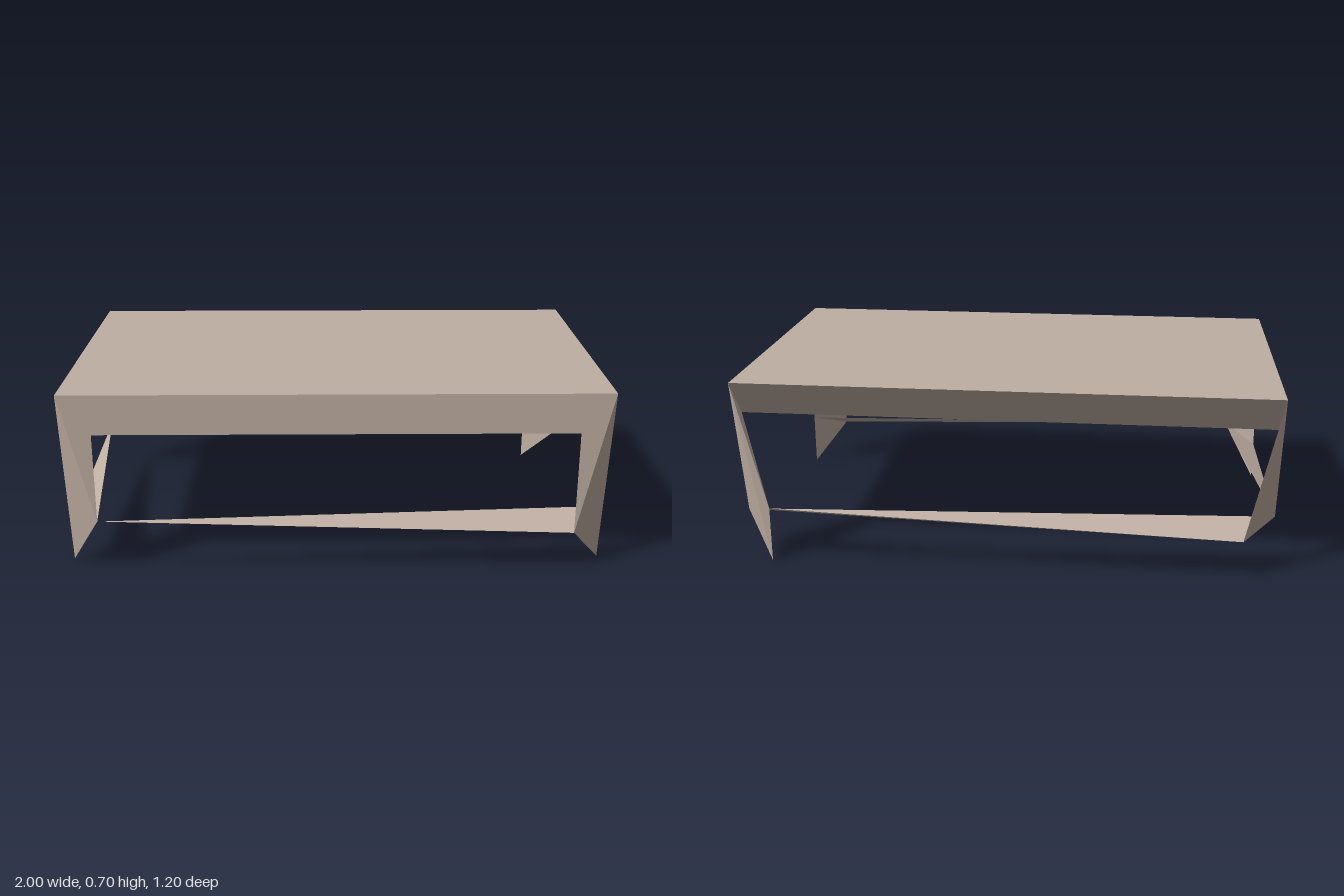
import * as THREE from 'three';
import { ConvexGeometry } from 'three/addons/geometries/ConvexGeometry.js';

const W = 1, D = 0.6;            // half width, half depth
const IX = 0.88, IZ = 0.48;      // inner faces of the legs
const TOP = 0.7, UNDER = 0.55;   // tabletop heights
const HI = 0.212, LO = 0.157;    // stretcher heights

export function createModel() {
  const group = new THREE.Group();
  const wood = new THREE.MeshStandardMaterial({ color: 0xbfaea2, side: THREE.DoubleSide });
  wood.name = 'pale brown wood';

  const vec = (p) => new THREE.Vector3(...p);
  const add = (name, geometry) => {
    const mesh = new THREE.Mesh(geometry, wood);
    mesh.name = name;
    group.add(mesh);
  };
  // Faceted solid spanned by its corner points
  const solid = (name, points) => add(name, new ConvexGeometry(points.map(vec)));
  // Thin sheet fanned from its first corner
  const sheet = (name, points) => {
    const corners = [];
    for (let i = 1; i < points.length - 1; i++) corners.push(points[0], points[i], points[i + 1]);
    const geometry = new THREE.BufferGeometry().setFromPoints(corners.map(vec));
    geometry.computeVertexNormals();
    add(name, geometry);
  };

  // Tabletop: upright front and ends, undercut back
  const slab = [];
  for (const s of [-1, 1]) {
    slab.push([s * W, TOP, D], [s * W, TOP, -D]);
    slab.push([s * IX, UNDER, D], [s * W, UNDER, IZ], [s * W, UNDER, -IZ]);
  }
  solid('tabletop', slab);

  // Front legs: wedges running from the top corner to a pointed foot
  for (const [name, s, y] of [['frontLegLeft', 1, LO], ['frontLegRight', -1, HI]]) {
    solid(name, [
      [s * W, TOP, D], [s * IX, UNDER, D], [s * W, UNDER, IZ],
      [s * IX, y, D], [s * W, 0.004, IZ],
    ]);
  }

  // Back legs: one reaches the floor, the other ends at the stretchers
  solid('backLegLeft', [
    [W, TOP, -D], [W, UNDER, -IZ], [W, LO, -IZ], [IX, HI, -D], [IX, 0, -D],
  ]);
  solid('backLegRight', [
    [-W, TOP, -D], [-W, UNDER, -IZ], [-W, HI, -IZ], [-IX, LO, -D],
  ]);

  // Tapering stretchers between the legs
  sheet('frontStretcher', [[-IX, HI, D], [IX, LO, D], [W, HI, IZ]]);
  sheet('sideStretcher', [[-W, HI, -IZ], [-W, LO, IZ], [-IX, HI, D]]);
  sheet('backStretcher', [[IX, HI, -D], [-IX, LO, -D], [-W, HI, -IZ]]);
  sheet('backStretcherUnderside', [[IX, HI, -D], [W, LO, -IZ], [-IX, LO, -D]]);

  return group;
}
